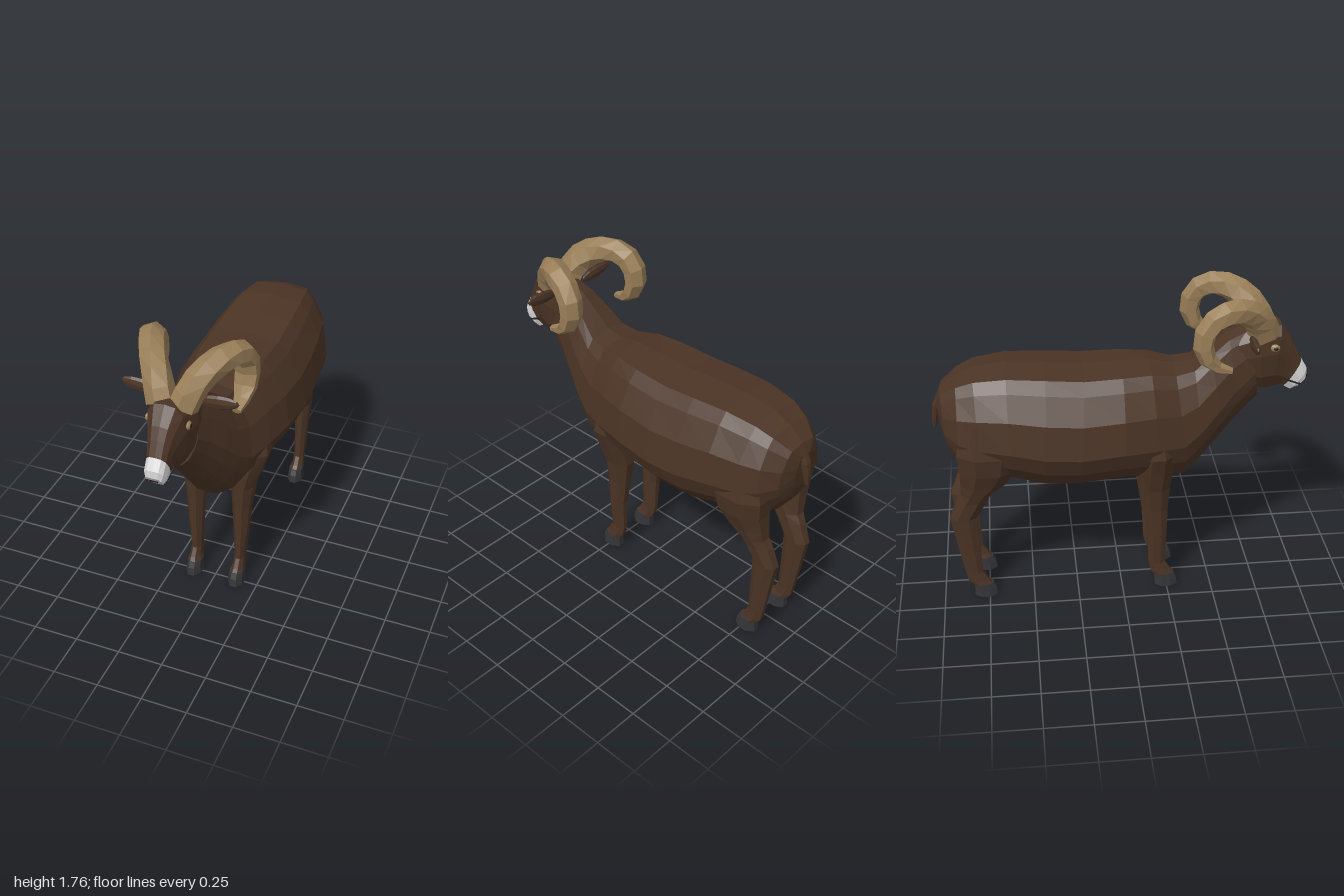
import * as THREE from 'three';

const mat = (name, color) => Object.assign(new THREE.MeshStandardMaterial({ color }), { name });
const coat = mat('brown coat', 0x4b3425);
const horn = mat('tan horn', 0x9a7f58);
const pale = mat('pale muzzle', 0xd6d6d6);
const hoofGrey = mat('hoof grey', 0x353538);
const dark = mat('dark nose', 0x242324);

const V = (x, y, z) => new THREE.Vector3(x, y, z);

// Skin a list of rings (counterclockwise about the path) with flat facets and capped ends
function loft(rings) {
  const pos = [];
  const tri = (...p) => p.forEach((v) => pos.push(v.x, v.y, v.z));
  const n = rings[0].length;
  for (let i = 0; i + 1 < rings.length; i++) {
    for (let j = 0; j < n; j++) {
      const k = (j + 1) % n;
      tri(rings[i][j], rings[i][k], rings[i + 1][k]);
      tri(rings[i][j], rings[i + 1][k], rings[i + 1][j]);
    }
  }
  const cap = (ring, end) => {
    const c = ring.reduce((s, v) => s.add(v), V(0, 0, 0)).divideScalar(n);
    for (let j = 0; j < n; j++) {
      const a = ring[j], b = ring[(j + 1) % n];
      if (end) tri(c, a, b); else tri(c, b, a);
    }
  };
  cap(rings[0], false);
  cap(rings[rings.length - 1], true);
  const g = new THREE.BufferGeometry();
  g.setAttribute('position', new THREE.Float32BufferAttribute(pos, 3));
  g.computeVertexNormals();
  return g;
}

// Mirror an unindexed geometry across x, keeping faces outward
function mirrored(geo) {
  const g = geo.clone().scale(-1, 1, 1);
  const p = g.attributes.position;
  for (let i = 0; i < p.count; i += 3) {
    const a = V(0, 0, 0).fromBufferAttribute(p, i + 1), b = V(0, 0, 0).fromBufferAttribute(p, i + 2);
    p.setXYZ(i + 1, b.x, b.y, b.z);
    p.setXYZ(i + 2, a.x, a.y, a.z);
  }
  g.computeVertexNormals();
  return g;
}

// Symmetric cross-sections: [height fraction, width fraction] from bottom to top
const bodyProfile = [[0, 0], [0.01, 0.25], [0.1, 0.6], [0.25, 0.86], [0.41, 1], [0.68, 0.92], [0.88, 0.7], [0.97, 0.54], [1, 0]];
const headProfile = [[0, 0], [0.03, 0.5], [0.25, 0.86], [0.6, 1], [0.85, 0.9], [0.98, 0.55], [1, 0]];

// Section: [top z, top y, bottom z, bottom y, half width]
const section = (profile) => ([tz, ty, bz, by, w]) => {
  const half = profile.map(([t, f]) => V(f * w, by + (ty - by) * t, bz + (tz - bz) * t));
  const other = half.slice(1, -1).reverse().map((v) => V(-v.x, v.y, v.z));
  return [...half, ...other];
};

// Leg ring: [y, z, x, half width, half depth]
const legRing = ([y, z, x, hx, hz]) => Array.from({ length: 8 }, (_, i) => {
  const a = ((i + 0.5) / 8) * Math.PI * 2;
  return V(x + Math.cos(a) * hx * 1.07, y, z + Math.sin(a) * hz * 1.07);
});

export function createModel() {
  const model = new THREE.Group();
  const add = (name, geo, material) => {
    const m = new THREE.Mesh(geo, material);
    m.name = name;
    model.add(m);
    return m;
  };
  const addPair = (name, geo, material) => {
    const flat = geo.index ? geo.toNonIndexed() : geo;
    flat.computeVertexNormals();
    add('left' + name, flat, material);
    add('right' + name, mirrored(flat), material);
  };

  // Torso and neck
  add('body', loft([
    [-0.97, 1.2, -0.95, 1.0, 0.06], [-0.945, 1.255, -0.92, 0.9, 0.155], [-0.86, 1.32, -0.86, 0.82, 0.235],
    [-0.77, 1.36, -0.74, 0.76, 0.278], [-0.6, 1.38, -0.6, 0.73, 0.315], [-0.4, 1.37, -0.42, 0.68, 0.335],
    [-0.2, 1.355, -0.25, 0.675, 0.342], [0, 1.36, 0, 0.695, 0.328], [0.15, 1.36, 0.2, 0.685, 0.288],
    [0.28, 1.335, 0.35, 0.675, 0.238], [0.38, 1.35, 0.43, 0.77, 0.21], [0.47, 1.425, 0.53, 0.89, 0.175],
    [0.56, 1.495, 0.64, 1.025, 0.135], [0.66, 1.535, 0.735, 1.13, 0.105],
  ].map(section(bodyProfile))), coat);

  // Head and muzzle
  const muzzleBase = [0.965, 1.335, 0.875, 1.175, 0.056];
  add('head', loft([
    [0.6, 1.5, 0.68, 1.2, 0.1], [0.7, 1.545, 0.76, 1.18, 0.12], [0.84, 1.555, 0.8, 1.18, 0.1],
    [0.9, 1.47, 0.84, 1.185, 0.074], [0.93, 1.41, 0.86, 1.185, 0.063], muzzleBase,
  ].map(section(headProfile))), coat);
  add('muzzle', loft([
    muzzleBase, [0.998, 1.28, 0.91, 1.155, 0.055], [1.0, 1.235, 0.94, 1.165, 0.045],
  ].map(section(headProfile))), pale);

  // Nose plate and mouth lines
  const noseShape = new THREE.Shape([[-0.036, 0.024], [-0.018, -0.014], [0.018, -0.014], [0.036, 0.024]].map(([x, y]) => new THREE.Vector2(x, y)));
  const nose = add('nose', new THREE.ExtrudeGeometry(noseShape, { depth: 0.008, bevelEnabled: false }), dark);
  nose.position.set(0, 1.222, 0.985);
  nose.rotation.x = 0.71;
  const mouth = new THREE.BoxGeometry(0.009, 0.009, 0.1);
  mouth.rotateX(0.4).rotateY(-0.07).translate(0.049, 1.213, 0.92);
  addPair('Mouth', mouth, dark);

  // Eyes with pupils
  const eye = new THREE.SphereGeometry(1, 8, 6);
  addPair('Eye', eye.clone().scale(0.014, 0.021, 0.027).rotateY(0.2).translate(0.102, 1.44, 0.8), horn);
  addPair('Pupil', eye.clone().scale(0.006, 0.011, 0.013).rotateY(0.2).translate(0.113, 1.44, 0.803), dark);

  // Ears
  const ear = new THREE.SphereGeometry(1, 8, 6);
  ear.rotateZ(Math.PI / 2).scale(0.105, 0.037, 0.018).rotateZ(0.1).translate(0.2, 1.508, 0.67);
  addPair('Ear', ear, coat);

  // Curled horns: centre line with tapering six-sided rings
  const path = new THREE.CatmullRomCurve3([
    [0.055, 1.5, 0.75], [0.095, 1.605, 0.705], [0.16, 1.68, 0.61], [0.21, 1.69, 0.51], [0.233, 1.645, 0.43],
    [0.24, 1.55, 0.397], [0.24, 1.465, 0.422], [0.24, 1.415, 0.475], [0.243, 1.392, 0.55],
  ].map((p) => V(...p)));
  const hornRings = Array.from({ length: 12 }, (_, i) => {
    const t = i / 11, c = path.getPointAt(t), T = path.getTangentAt(t);
    const U = V(1, 0, 0).addScaledVector(T, -T.x).normalize(), W = T.clone().cross(U);
    const tip = Math.min(1, 0.4 + (1 - t) * 3);
    const ru = (0.064 - 0.01 * t) * tip, rw = (0.087 - 0.046 * t) * tip;
    return Array.from({ length: 6 }, (_, j) => {
      const a = ((j + 0.5) / 6) * Math.PI * 2;
      return c.clone().addScaledVector(U, Math.cos(a) * ru * 1.15).addScaledVector(W, Math.sin(a) * rw);
    });
  });
  addPair('Horn', loft(hornRings), horn);

  // Legs and hooves
  addPair('FrontLeg', loft([
    [1.05, 0.17, 0.2, 0.065, 0.065], [0.9, 0.18, 0.2, 0.088, 0.085], [0.78, 0.178, 0.165, 0.082, 0.09],
    [0.66, 0.172, 0.14, 0.067, 0.085], [0.52, 0.18, 0.135, 0.051, 0.069], [0.35, 0.192, 0.135, 0.041, 0.054],
    [0.15, 0.195, 0.13, 0.028, 0.046], [0.1, 0.215, 0.13, 0.031, 0.055], [0.07, 0.235, 0.128, 0.037, 0.056],
  ].map(legRing)), coat);
  addPair('HindLeg', loft([
    [1.15, -0.72, 0.17, 0.09, 0.12], [0.95, -0.71, 0.175, 0.112, 0.17], [0.84, -0.717, 0.165, 0.1, 0.152],
    [0.74, -0.752, 0.15, 0.076, 0.118], [0.68, -0.79, 0.142, 0.064, 0.082], [0.63, -0.815, 0.135, 0.055, 0.083],
    [0.52, -0.868, 0.13, 0.046, 0.072], [0.35, -0.85, 0.13, 0.037, 0.06], [0.15, -0.828, 0.13, 0.029, 0.047],
    [0.1, -0.808, 0.13, 0.031, 0.056], [0.07, -0.785, 0.128, 0.037, 0.055],
  ].map(legRing)), coat);
  for (const [name, z] of [['FrontHoof', 0.249], ['HindHoof', -0.769]]) {
    addPair(name, loft([
      [0.078, z - 0.013, 0.128, 0.039, 0.054], [0.045, z - 0.004, 0.128, 0.041, 0.06], [0, z, 0.128, 0.044, 0.064],
    ].map(legRing)), hoofGrey);
  }

  // Tail
  add('tail', loft([
    [1.2, -0.95, 0, 0.03, 0.02], [1.15, -0.974, 0, 0.03, 0.018], [1.08, -0.983, 0, 0.022, 0.016], [1.02, -0.988, 0, 0.01, 0.01],
  ].map(legRing)), coat);

  return model;
}
